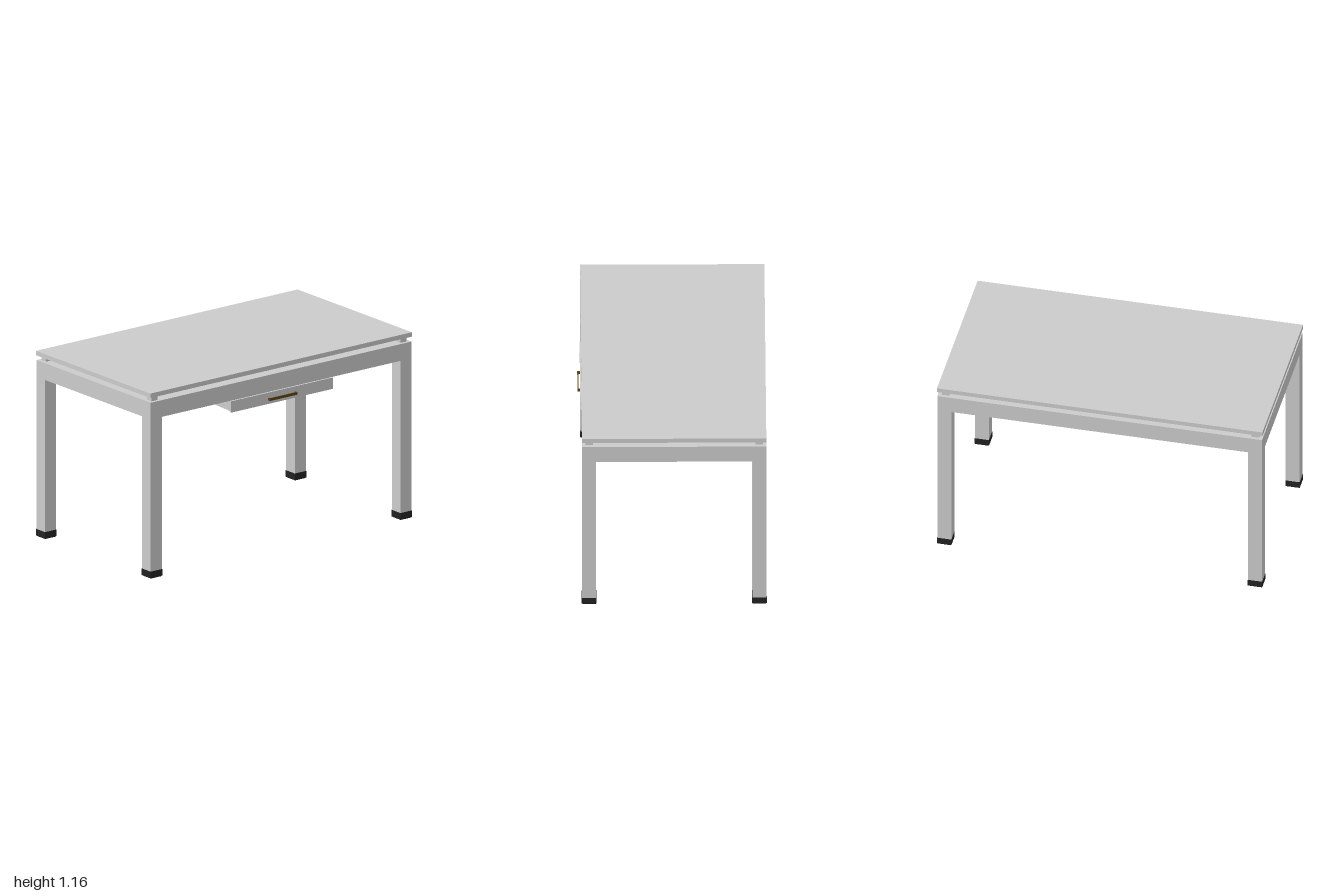
import * as THREE from 'three';

const grey = new THREE.MeshStandardMaterial({ color: 0xcccccc });
const black = new THREE.MeshStandardMaterial({ color: 0x222222 });
const bronze = new THREE.MeshStandardMaterial({ color: 0x5c4210 });

const Z0 = -0.01; // centre of the table; the drawer handle projects in front

function add(parent, name, geometry, material = grey) {
  const mesh = new THREE.Mesh(geometry, material);
  mesh.name = name;
  parent.add(mesh);
  return mesh;
}

// Box given by its extents on each axis
function box(parent, name, [x0, x1], [y0, y1], [z0, z1], material) {
  const mesh = add(parent, name, new THREE.BoxGeometry(x1 - x0, y1 - y0, z1 - z0), material);
  mesh.position.set((x0 + x1) / 2, (y0 + y1) / 2, (z0 + z1) / 2);
  return mesh;
}

function rect(path, w, d) {
  path.moveTo(-w, -d);
  path.lineTo(w, -d);
  path.lineTo(w, d);
  path.lineTo(-w, d);
  path.closePath();
  return path;
}

// Square foot cap with a slightly tapered lower edge
function footGeometry(half, height) {
  const bevel = 0.006;
  const profile = [[0, 0], [half - bevel, 0], [half, bevel], [half, height], [0, height]]
    .map(([r, y]) => new THREE.Vector2(r * Math.SQRT2, y));
  const g = new THREE.LatheGeometry(profile, 4).toNonIndexed();
  g.rotateY(Math.PI / 4);
  g.computeVertexNormals();
  return g;
}

// Upright panel in the side plane, outlined by [z, y] points
function sidePanel(parent, name, x, thickness, points) {
  const shape = new THREE.Shape(points.map(([z, y]) => new THREE.Vector2(-z, y)));
  const g = new THREE.ExtrudeGeometry(shape, { depth: thickness, bevelEnabled: false });
  g.translate(0, 0, -thickness / 2);
  g.rotateY(Math.PI / 2);
  add(parent, name, g).position.x = x;
}

export function createModel() {
  const desk = new THREE.Group();
  desk.name = 'desk';

  // Top board floating above the frame
  box(desk, 'tabletop', [-1, 1], [1.135, 1.163], [-0.562, 0.542]);

  // Rectangular tube frame
  const outline = rect(new THREE.Shape(), 0.998, 0.552);
  outline.holes.push(rect(new THREE.Path(), 0.912, 0.468));
  const frame = new THREE.ExtrudeGeometry(outline, { depth: 0.105, bevelEnabled: false });
  frame.rotateX(-Math.PI / 2);
  add(desk, 'frame', frame).position.set(0, 1, Z0);

  // Legs, feet and top spacers at the four corners
  const legGeometry = new THREE.BoxGeometry(0.086, 0.957, 0.084);
  const footGeo = footGeometry(0.0445, 0.045);
  const spacerGeometry = new THREE.BoxGeometry(0.044, 0.032, 0.044);
  for (const sx of [-1, 1]) {
    for (const sz of [-1, 1]) {
      const corner = new THREE.Group();
      corner.name = (sz > 0 ? 'front' : 'back') + (sx > 0 ? 'Left' : 'Right') + 'Corner';
      corner.position.set(sx * 0.955, 0, Z0 + sz * 0.51);
      desk.add(corner);
      add(corner, 'leg', legGeometry).position.y = 0.5215;
      add(corner, 'foot', footGeo, black);
      add(corner, 'spacer', spacerGeometry).position.set(-sx * 0.003, 1.12, 0);
    }
  }

  // Hanging drawer with a sloping floor
  const drawer = new THREE.Group();
  drawer.name = 'drawer';
  desk.add(drawer);
  const floorY = z => 0.931 + (0.541 - z) * 0.038;
  for (const sx of [-1, 1]) {
    // Tray wall and the taller hanger that carries it from the tabletop
    sidePanel(drawer, 'drawerSide', sx * 0.379, 0.006,
      [[0.541, floorY(0.541)], [-0.1, floorY(-0.1)], [-0.104, 0.998], [0.541, 0.998]]);
    sidePanel(drawer, 'drawerHanger', sx * 0.386, 0.006,
      [[0.35, floorY(0.35) - 0.003], [-0.09, floorY(-0.09) - 0.003], [-0.09, 1.135], [0.35, 1.135]]);
  }
  const floor = add(drawer, 'drawerFloor', new THREE.BoxGeometry(0.764, 0.006, 0.642));
  floor.position.set(0, floorY(0.22) + 0.003, 0.22);
  floor.rotation.x = Math.atan(0.038);
  const back = box(drawer, 'drawerBack', [-0.382, 0.382], [0.958, 0.998], [-0.105, -0.098]);
  back.rotation.x = -0.038;
  box(drawer, 'drawerFront', [-0.39, 0.39], [0.927, 0.998], [0.54, 0.549]);

  // Bar handle on two short posts
  const handle = new THREE.Group();
  handle.name = 'drawerHandle';
  drawer.add(handle);
  box(handle, 'handleBar', [-0.105, 0.105], [0.949, 0.965], [0.558, 0.565], bronze);
  for (const sx of [-1, 1]) {
    box(handle, 'handlePost', [sx * 0.1 - 0.005, sx * 0.1 + 0.005], [0.949, 0.965], [0.548, 0.56], bronze);
  }

  return desk;
}
